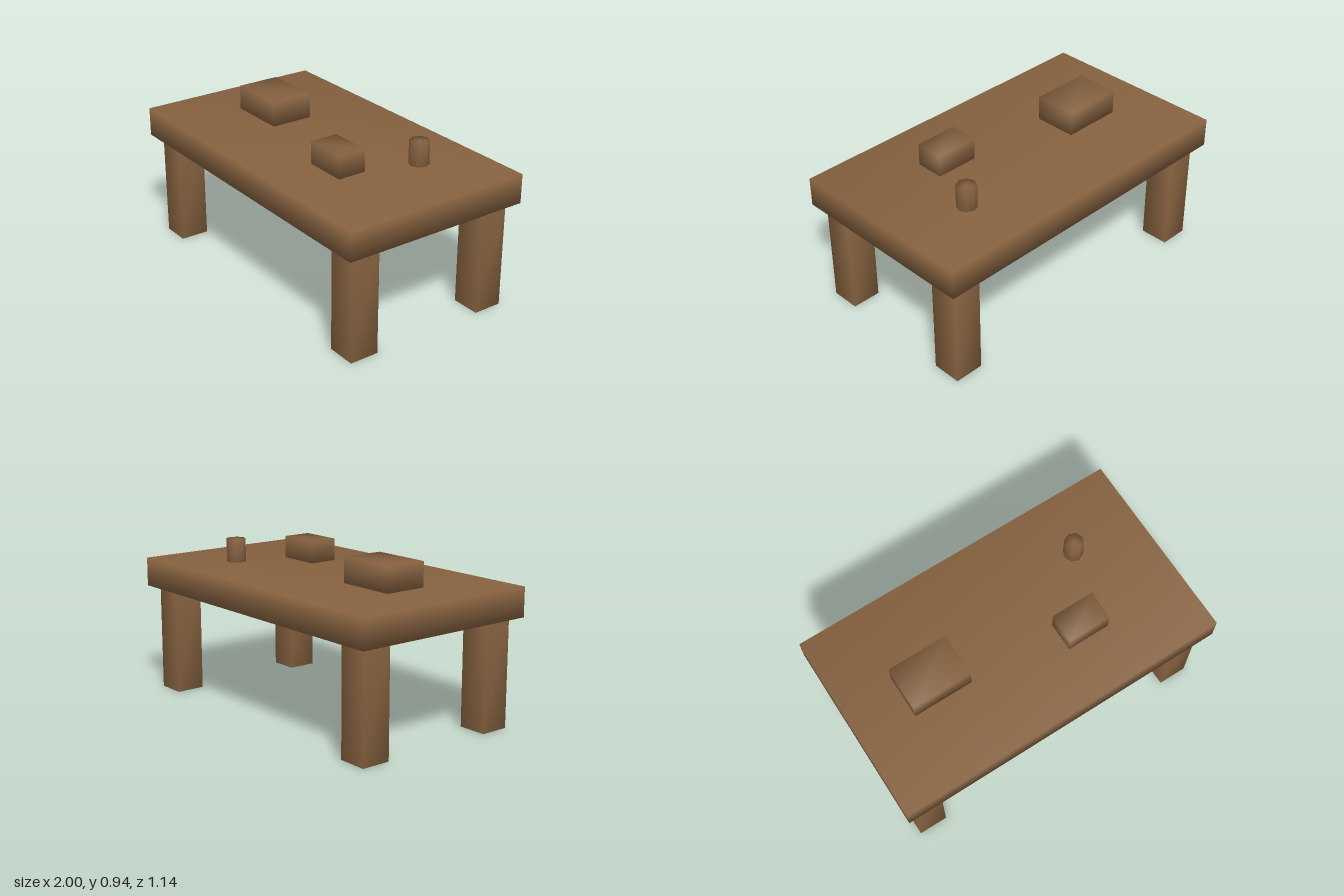
import * as THREE from 'three';
import { mergeVertices } from 'three/addons/utils/BufferGeometryUtils.js';

const wood = new THREE.MeshStandardMaterial({ color: 0x85613f });

// Shares the corners so the shading runs smoothly over the edges
function smooth(geometry) {
  geometry.deleteAttribute('normal');
  geometry.deleteAttribute('uv');
  const merged = mergeVertices(geometry);
  merged.computeVertexNormals();
  return merged;
}

export function createModel() {
  const group = new THREE.Group();

  // Adds a part standing with its base at height y
  const add = (name, geometry, height, x, y, z) => {
    const mesh = new THREE.Mesh(smooth(geometry), wood);
    mesh.name = name;
    mesh.position.set(x, y + height / 2, z);
    group.add(mesh);
  };
  const addBox = (name, w, h, d, x, y, z) =>
    add(name, new THREE.BoxGeometry(w, h, d), h, x, y, z);

  const legHeight = 0.63;
  const topHeight = 0.8;

  // Table top
  addBox('tableTop', 2, topHeight - legHeight, 1.14, 0, legHeight, 0);

  // Four square legs
  for (const [side, x] of [['Left', 0.857], ['Right', -0.857]]) {
    for (const [end, z] of [['front', 0.43], ['back', -0.43]]) {
      addBox(`${end}${side}Leg`, 0.172, legHeight, 0.172, x, 0, z);
    }
  }

  // Objects on the table
  addBox('largeBlock', 0.356, 0.144, 0.256, -0.5, topHeight, 0);
  addBox('smallBlock', 0.256, 0.13, 0.17, 0.357, topHeight, 0.172);
  add('cup', new THREE.CylinderGeometry(0.057, 0.057, 0.137, 8), 0.137, 0.57, topHeight, -0.215);

  return group;
}
